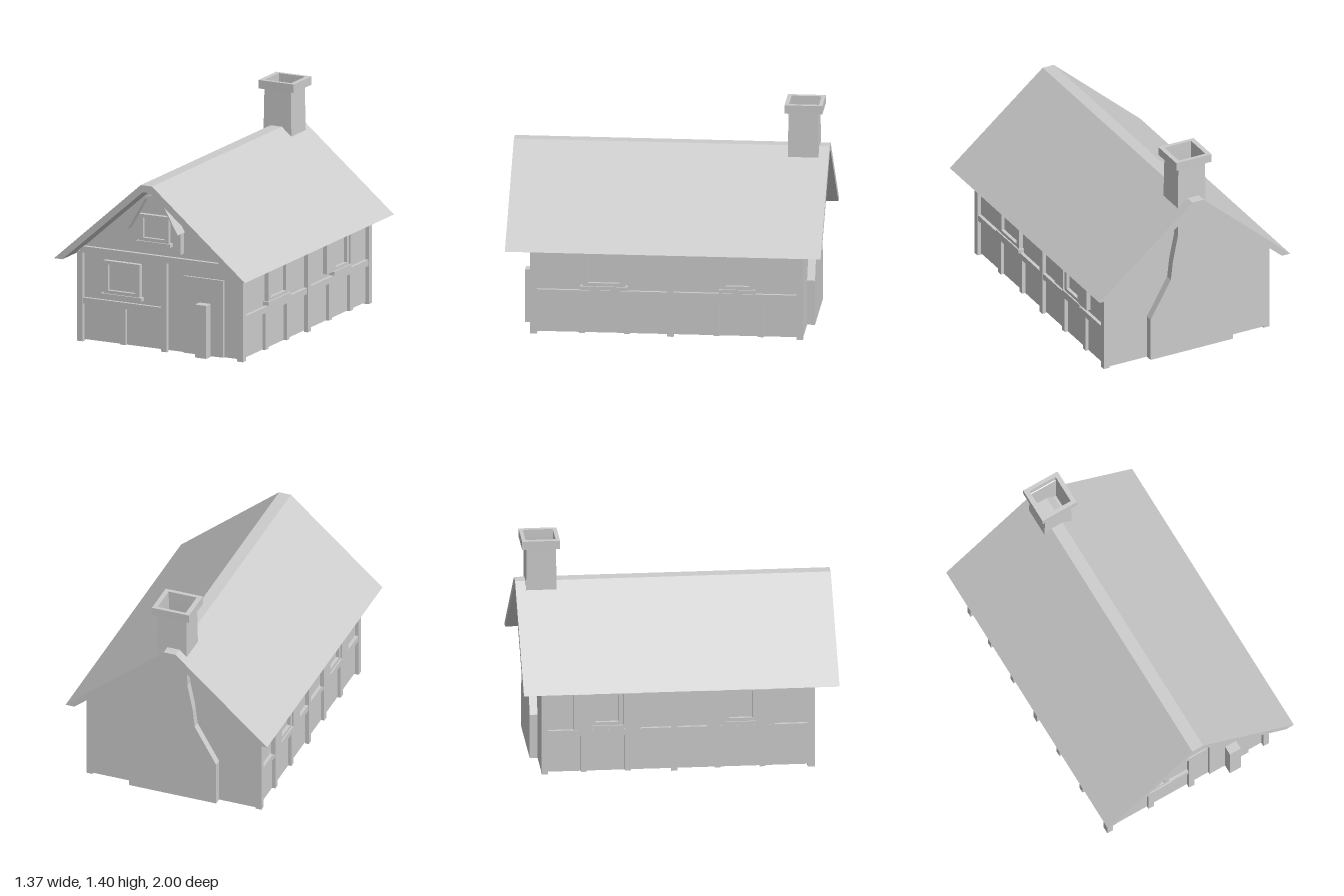
import * as THREE from 'three';

const solid = new THREE.MeshStandardMaterial({ color: 0xcccccc, flatShading: true });
const thin = new THREE.MeshStandardMaterial({ color: 0xcccccc, flatShading: true, side: THREE.DoubleSide });

const FRONT = 0.825, BACK = -0.88, LEFT = 0.56, RIGHT = -0.575; // wall planes

function add(parent, name, geometry, material = solid) {
  const mesh = new THREE.Mesh(geometry, material);
  mesh.name = name;
  parent.add(mesh);
  return mesh;
}

// Box given by its limits on each axis
function box(parent, name, x0, x1, y0, y1, z0, z1) {
  const mesh = add(parent, name, new THREE.BoxGeometry(x1 - x0, y1 - y0, z1 - z0));
  mesh.position.set((x0 + x1) / 2, (y0 + y1) / 2, (z0 + z1) / 2);
  return mesh;
}

const outline = (points) => new THREE.Shape(points.map(([x, y]) => new THREE.Vector2(x, y)));

// Outline in xy pushed from z0 to z1
function slab(parent, name, points, z0, z1, hole) {
  const shape = outline(points);
  if (hole) shape.holes.push(outline(hole));
  const geometry = new THREE.ExtrudeGeometry(shape, { depth: z1 - z0, bevelEnabled: false });
  geometry.translate(0, 0, z0);
  return add(parent, name, geometry);
}

const rect = (x0, x1, y0, y1) => [[x0, y0], [x1, y0], [x1, y1], [x0, y1]];

// Window in the xy plane facing +z, centred on x = 0, sill at y = 0
function makeWindow(w, h, shutters, shutterY = 0.03) {
  const g = new THREE.Group();
  g.name = 'window';
  const a = w / 2, t = Math.min(0.035, w * 0.13);
  slab(g, 'windowFrame', rect(-a, a, 0, h), 0, 0.03, rect(-a + t, a - t, 0.045, h - 0.022));
  box(g, 'windowPane', -a + t, a - t, 0.045, h - 0.022, 0, 0.008);
  box(g, 'windowSill', -a - 0.015, a + 0.015, 0, 0.024, 0, 0.04);
  if (shutters) {
    for (const s of [-1, 1]) {
      const shutter = box(g, 'shutter', -0.056, 0.056, shutterY, shutterY + 0.235, 0.012, 0.04);
      shutter.position.x = s * (a + 0.057);
    }
  }
  return g;
}

// Timber and windows of a long side, drawn in local xy facing +z (local x runs along the wall)
function makeSide(name, windows) {
  const g = new THREE.Group();
  g.name = name;
  const wall = add(g, 'sideWall', new THREE.PlaneGeometry(FRONT - BACK, 0.6), thin);
  wall.position.set(-(FRONT + BACK) / 2, 0.31, 0);
  box(g, 'middlePost', 0.02, 0.06, 0, 0.59, 0, 0.026);
  for (const c of [-0.52, -0.235, 0.333, 0.612])
    box(g, 'lowerPost', c - 0.019, c + 0.019, 0.01, 0.25, 0, 0.022);
  box(g, 'middleRail', -0.82, 0.86, 0.25, 0.29, 0, 0.022);
  box(g, 'wallPlate', -0.82, 0.86, 0.565, 0.6, 0, 0.022);
  for (const [x, w, h, shutters, y] of windows) {
    const win = makeWindow(w, h, shutters, y);
    win.position.set(x, 0.297, 0);
    g.add(win);
  }
  return g;
}

export function createModel() {
  const house = new THREE.Group();
  house.name = 'cottage';

  // Gable walls
  const gable = [[RIGHT, 0.01], [LEFT, 0.01], [LEFT, 0.61], [0, 1.065], [-0.05, 1.065], [RIGHT, 0.61]];
  for (const [name, z] of [['frontWall', FRONT], ['backWall', BACK]])
    add(house, name, new THREE.ShapeGeometry(outline(gable)), thin).position.z = z;

  // Long side walls
  const left = makeSide('leftSide', [[-0.38, 0.27, 0.248, false], [0.465, 0.2, 0.245, true]]);
  left.rotation.y = Math.PI / 2;
  left.position.x = LEFT;
  const right = makeSide('rightSide', [[-0.465, 0.2, 0.245, true, 0], [0.38, 0.2, 0.245, true, 0]]);
  // Mirrored run of the wall: keep the same z layout as the other side
  right.rotation.y = -Math.PI / 2;
  right.position.x = RIGHT;
  for (const part of right.children) part.position.x *= part.name === 'window' ? 1 : -1;
  house.add(left, right);

  // Corner posts
  for (const [x0, x1] of [[-0.6, -0.56], [0.545, 0.585]]) {
    box(house, 'frontCornerPost', x0, x1, 0, 0.59, 0.805, 0.85);
    box(house, 'backCornerPost', x0, x1, 0, 0.59, BACK, -0.84);
  }

  // Front timber frame
  box(house, 'frontMiddlePost', 0, 0.04, 0, 0.58, FRONT, 0.85);
  box(house, 'frontLowerPost', -0.295, -0.255, 0.01, 0.245, FRONT, 0.845);
  box(house, 'frontRail', -0.56, 0, 0.245, 0.285, FRONT, 0.845);
  box(house, 'frontTieBeam', -0.58, 0.565, 0.58, 0.62, FRONT, 0.85);

  // Door and the block standing before it
  box(house, 'door', 0.155, 0.44, 0.01, 0.51, FRONT, 0.84);
  box(house, 'doorBlock', 0.27, 0.35, 0.005, 0.35, FRONT, 0.9);

  // Front window
  const frontWindow = makeWindow(0.26, 0.237, false);
  frontWindow.position.set(-0.28, 0.31, FRONT);
  house.add(frontWindow);

  // Gable bay with hood and window
  const arch = [[0.15, 0.79], [0.028, 1.0], [-0.025, 1.018], [-0.078, 1.0], [-0.2, 0.79]];
  const hood = [[-0.207, 0.79], [-0.082, 1.01], [-0.025, 1.032], [0.032, 1.01], [0.157, 0.79]];
  slab(house, 'gableBay', [[-0.2, 0.65], [0.15, 0.65], ...arch], FRONT, 0.87);
  slab(house, 'gableHood', [...arch, ...hood], FRONT, 0.92);
  const gableWindow = makeWindow(0.21, 0.197, false);
  gableWindow.position.set(-0.025, 0.697, 0.87);
  house.add(gableWindow);

  // Roof with a flat ridge
  slab(house, 'roof', [
    [-0.685, 0.56], [-0.625, 0.56], [-0.05, 1.065], [0, 1.065], [0.62, 0.56], [0.68, 0.56],
    [0.015, 1.11], [-0.065, 1.11],
  ], -1, 1);

  // Chimney breast narrowing up the back wall
  const edge = [[0.295, 0.01], [0.295, 0.3], [0.15, 0.55], [0.135, 0.68], [0.1, 0.85], [0.095, 1.07]];
  const cx = -0.018;
  slab(house, 'chimneyBreast', [
    ...edge.map(([x, y]) => [cx + x, y]),
    ...edge.map(([x, y]) => [cx - x, y]).reverse(),
  ], -0.93, -0.76);

  // Hollow chimney stack, tapering slightly, and its cap
  const stack = new THREE.CylinderGeometry(Math.SQRT1_2, Math.SQRT1_2 * 1.05, 1, 4, 1, true);
  stack.rotateY(Math.PI / 4);
  stack.scale(0.19, 0.3, 0.185);
  stack.translate(-0.016, 1.2, -0.838);
  add(house, 'chimneyStack', stack, thin);
  const cap = slab(house, 'chimneyCap', rect(-0.142, 0.11, 0.722, 0.962), 0, 0.055, rect(-0.11, 0.08, 0.748, 0.938));
  cap.rotation.x = -Math.PI / 2;
  cap.position.y = 1.345;

  return house;
}
